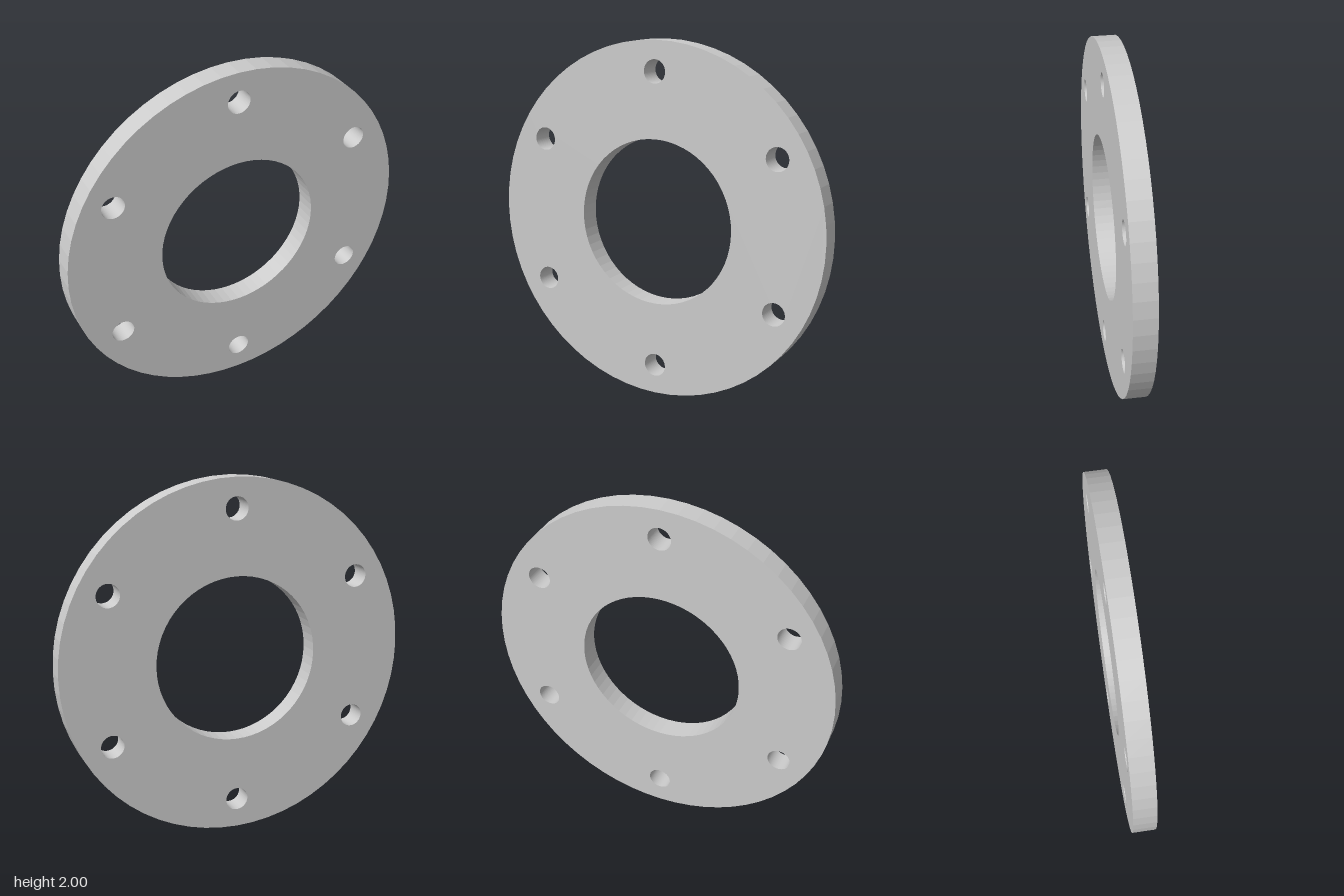
import * as THREE from 'three';

const OUTER_RADIUS = 1;
const BORE_RADIUS = 0.466;
const BOLT_CIRCLE_RADIUS = 0.832;
const BOLT_HOLE_RADIUS = 0.065;
const BOLT_COUNT = 6;
const THICKNESS = 0.126;

function circleHole(x, y, radius) {
  return new THREE.Path().absarc(x, y, radius, 0, Math.PI * 2, true);
}

export function createModel() {
  const group = new THREE.Group();
  group.name = 'flange';

  // Round plate with the central bore
  const plate = new THREE.Shape().absarc(0, 0, OUTER_RADIUS, 0, Math.PI * 2, false);
  plate.holes.push(circleHole(0, 0, BORE_RADIUS));

  // Ring of bolt holes, the first one at the top
  for (let i = 0; i < BOLT_COUNT; i++) {
    const angle = Math.PI / 2 + (i / BOLT_COUNT) * Math.PI * 2;
    plate.holes.push(circleHole(
      Math.cos(angle) * BOLT_CIRCLE_RADIUS,
      Math.sin(angle) * BOLT_CIRCLE_RADIUS,
      BOLT_HOLE_RADIUS
    ));
  }

  // 32 curve segments give each full circle 64 sides
  const geometry = new THREE.ExtrudeGeometry(plate, {
    depth: THICKNESS,
    bevelEnabled: false,
    curveSegments: 32
  });
  geometry.translate(0, OUTER_RADIUS, -THICKNESS / 2);

  const material = new THREE.MeshStandardMaterial({ color: 0xcccccc, flatShading: true });
  const mesh = new THREE.Mesh(geometry, material);
  mesh.name = 'flangePlate';
  group.add(mesh);
  return group;
}
